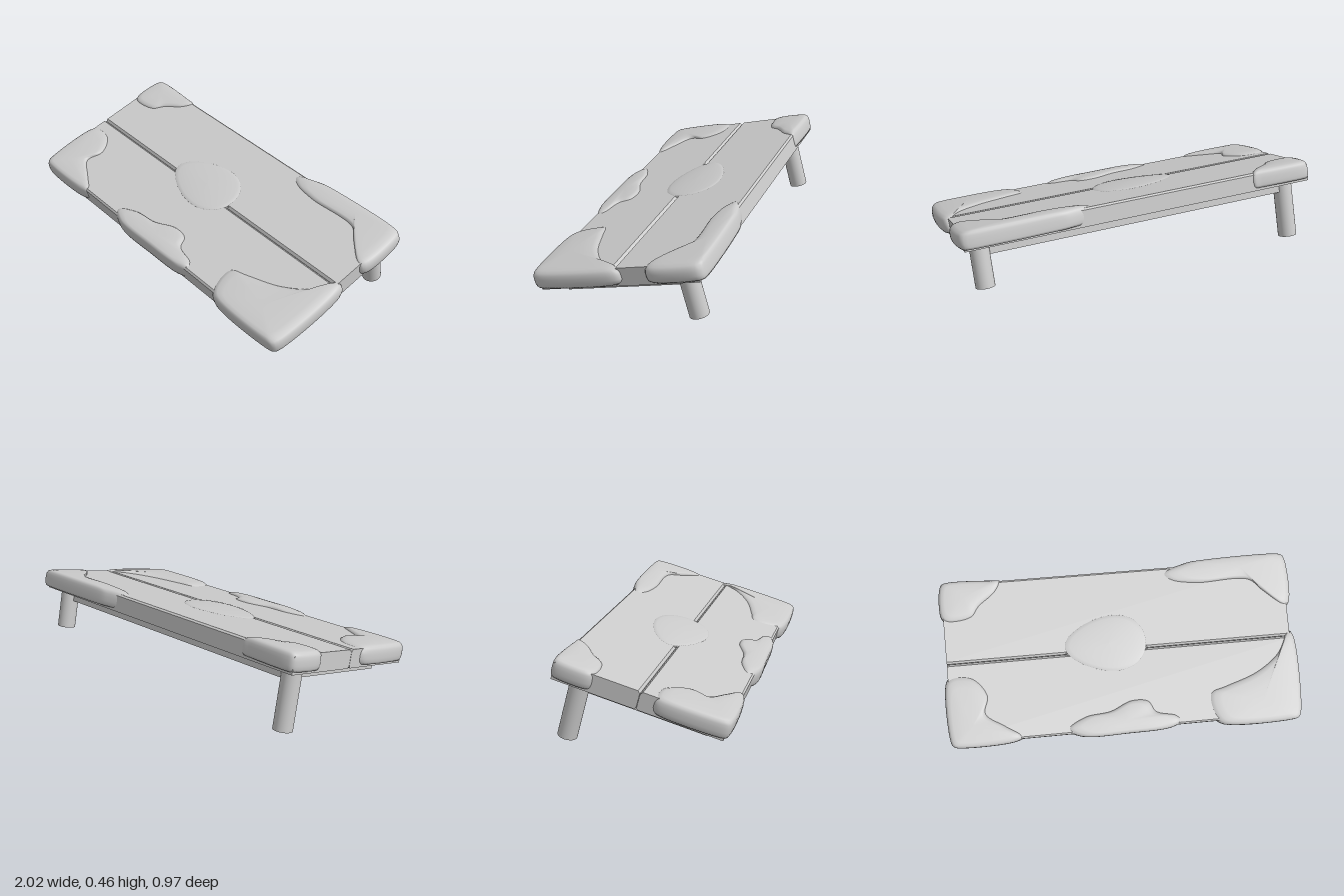
import * as THREE from 'three';

const material = new THREE.MeshStandardMaterial({ color: 0xcccccc });

// Half of the top's cross-section: u runs outward from the seam, y = 0 is the upper face
function plankGeometry(length) {
  const s = new THREE.Shape();
  s.moveTo(0.013, 0);
  s.lineTo(0.001, -0.014);
  s.lineTo(0.001, -0.09);
  s.lineTo(0.01, -0.1);
  s.lineTo(0.45, -0.1);
  s.lineTo(0.45, -0.01);
  s.lineTo(0.44, 0);
  s.closePath();
  const g = new THREE.ExtrudeGeometry(s, { depth: length, bevelEnabled: false });
  return g.translate(0, 0, -length / 2);
}

// Soft pad: a smooth outline in x/z, lofted through [scale, height] rings about a centre
function padGeometry(outline, [cx, cz], rings, sides = 96) {
  const curve = new THREE.CatmullRomCurve3(
    outline.map(([x, z]) => new THREE.Vector3(x, 0, z)), true, 'centripetal');
  const loop = curve.getSpacedPoints(sides).slice(0, sides);
  if (THREE.ShapeUtils.area(loop.map((p) => new THREE.Vector2(p.x, p.z))) < 0) loop.reverse();
  const pos = [], index = [];
  rings.forEach(([scale, y], r) => {
    loop.forEach((p, i) => {
      pos.push(cx + (p.x - cx) * scale, y, cz + (p.z - cz) * scale);
      if (r === 0) return;
      const j = (i + 1) % sides, up = (r - 1) * sides, low = r * sides;
      index.push(up + i, up + j, low + i, up + j, low + j, low + i);
    });
  });
  const g = new THREE.BufferGeometry();
  g.setAttribute('position', new THREE.Float32BufferAttribute(pos, 3));
  g.setIndex(index);
  g.computeVertexNormals();
  return g;
}

// Closes an inner boundary, running from the end edge to the long edge, around a rounded corner
function cornerOutline(sx, sz, reach, inner) {
  const [endX] = inner[inner.length - 1], startZ = inner[0][1];
  return [...inner,
    [endX + sx * 0.05, sz * (reach - 0.008)],
    [sx * 0.945, sz * reach],
    [sx * 0.984, sz * (reach - 0.01)],
    [sx, sz * (reach - 0.045)],
    [sx, startZ + sz * 0.03]];
}

// Pads over an edge hang down the side; the middle one is a low dome
const drape = [[0, 0.017], [0.4, 0.017], [0.75, 0.014], [0.88, 0.009], [0.95, 0],
  [0.985, -0.013], [1, -0.032], [1, -0.055], [0.985, -0.073], [0.95, -0.085], [0, -0.085]];
const dome = [[0, 0.012], [0.35, 0.011], [0.65, 0.0085], [0.85, 0.005], [0.95, 0.002], [1, -0.006], [0, -0.008]];

export function createModel() {
  const model = new THREE.Group();
  model.name = 'collapsedTable';
  const table = new THREE.Group();
  table.name = 'tiltedTable';
  // Pitched down toward the front and toward the left
  table.rotation.set(0.253, 0, -0.0546);
  table.position.set(0, 0.297, 0.01);
  model.add(table);

  const add = (name, geometry, x = 0, y = 0, z = 0) => {
    const mesh = new THREE.Mesh(geometry, material);
    mesh.name = name;
    mesh.position.set(x, y, z);
    table.add(mesh);
  };

  // Two planks with a seam between them
  for (const [name, turn] of [['frontPlank', -1], ['backPlank', 1]]) {
    add(name, plankGeometry(1.96).rotateY(turn * Math.PI / 2), -0.006);
  }

  // Apron frame below the planks
  for (const side of [-1, 1]) {
    add(side > 0 ? 'frontRail' : 'backRail', new THREE.BoxGeometry(1.76, 0.06, 0.045), 0, -0.127, side * 0.3375);
    add(side > 0 ? 'leftRail' : 'rightRail', new THREE.BoxGeometry(0.045, 0.06, 0.63), side * 0.8575, -0.127, 0);
  }

  // The two remaining back legs: name, x, z, lower end
  for (const [name, x, z, end] of [['backRightLeg', -0.885, -0.325, -0.42], ['backLeftLeg', 0.885, -0.35, -0.325]]) {
    const height = -0.09 - end;
    add(name, new THREE.CylinderGeometry(0.052, 0.052, height, 32), x, end + height / 2, z);
  }

  // Overgrowth on the four corners
  const cornerPad = (name, sx, sz, reach, centre, inner) =>
    add(name, padGeometry(cornerOutline(sx, sz, reach, inner), centre, drape));
  cornerPad('backRightPad', -1, -1, 0.465, [-0.86, -0.37],
    [[-0.97, -0.235], [-0.83, -0.25], [-0.78, -0.31], [-0.68, -0.39], [-0.65, -0.45]]);
  cornerPad('frontRightPad', -1, 1, 0.472, [-0.87, 0.36],
    [[-0.97, 0.07], [-0.85, 0.08], [-0.77, 0.186], [-0.79, 0.29], [-0.68, 0.373], [-0.59, 0.44]]);
  cornerPad('frontLeftPad', 1, 1, 0.482, [0.78, 0.35],
    [[0.975, -0.035], [0.9, 0.085], [0.76, 0.186], [0.56, 0.256], [0.475, 0.285], [0.465, 0.34], [0.5, 0.44]]);
  cornerPad('backLeftPad', 1, -1, 0.485, [0.72, -0.42],
    [[0.975, -0.173], [0.85, -0.267], [0.77, -0.34], [0.45, -0.345], [0.3, -0.375], [0.26, -0.415], [0.4, -0.468]]);

  // Overgrowth over the front edge
  add('frontEdgePad', padGeometry(
    [[-0.35, 0.42], [-0.25, 0.36], [-0.1, 0.34], [0.03, 0.288], [0.13, 0.3], [0.17, 0.364],
      [0.29, 0.4], [0.31, 0.43], [0.25, 0.462], [0, 0.475], [-0.27, 0.468]],
    [-0.01, 0.4], drape));

  // Egg-shaped mound in the middle
  const egg = Array.from({ length: 16 }, (_, i) => {
    const a = (i / 16) * Math.PI * 2;
    return [-0.09 + 0.24 * Math.cos(a), -0.042 + 0.16 * Math.sin(a) * (1 + 0.25 * Math.cos(a))];
  });
  add('middlePad', padGeometry(egg, [-0.07, -0.042], dome));

  return model;
}
